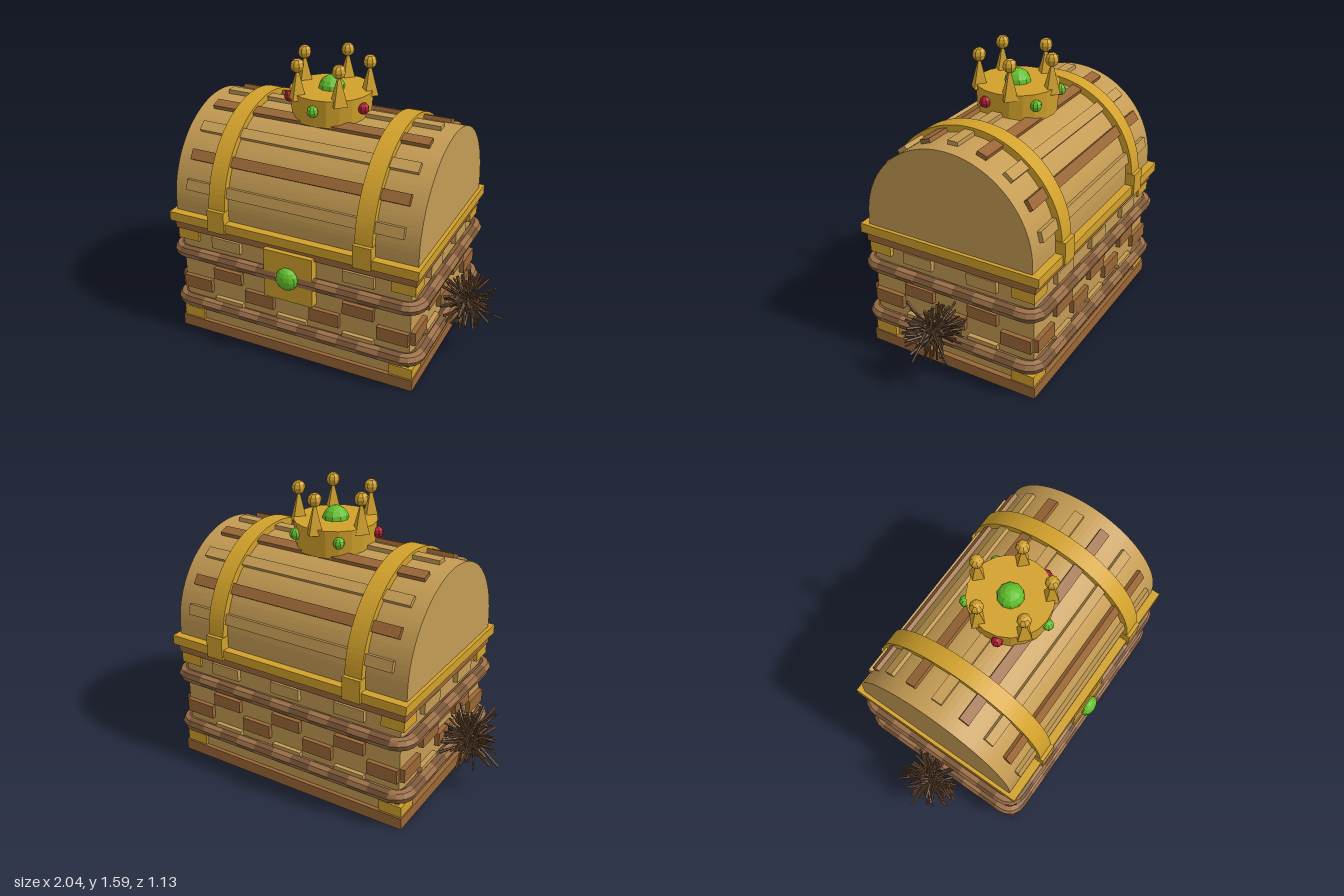
import * as THREE from 'three';

const mat = (name, color, extra = {}) => {
  const m = new THREE.MeshStandardMaterial({ color, flatShading: true, ...extra });
  m.name = name;
  return m;
};

export function createModel() {
  const tan = mat('light wood', 0xc49b53), brown = mat('brown wood', 0x9a6736);
  const gold = mat('gold', 0xd2a12b), green = mat('green gem', 0x62bf2c), red = mat('red gem', 0xac1a2c);
  const ropeLight = mat('light rope', 0x9c7048), ropeDark = mat('dark rope', 0x7c5737);
  const twig = mat('twig', 0x65462d);

  const root = new THREE.Group();
  root.name = 'treasureChest';
  const chest = new THREE.Group();
  chest.name = 'chest';
  chest.position.z = -0.017;
  root.add(chest);

  const add = (name, geo, m, x = 0, y = 0, z = 0, parent = chest) => {
    const mesh = new THREE.Mesh(geo, m);
    mesh.name = name;
    mesh.position.set(x, y, z);
    parent.add(mesh);
    return mesh;
  };
  // box given by width, depth, and its bottom and top heights
  const box = (name, m, w, d, y0, y1, x = 0, z = 0) =>
    add(name, new THREE.BoxGeometry(w, y1 - y0, d), m, x, (y0 + y1) / 2, z);

  // body, base and rims
  box('base', brown, 1.41, 1.01, 0, 0.066);
  box('body', tan, 1.35, 0.965, 0.066, 0.66);
  box('brownRim', brown, 1.41, 1.01, 0.64, 0.7);
  box('goldRim', gold, 1.445, 1.06, 0.692, 0.745);

  // gold corner caps
  for (const sx of [-1, 1]) for (const sz of [-1, 1])
    for (const [y0, y1] of [[0.062, 0.128], [0.575, 0.642]])
      box('cornerCap', gold, 0.13, 0.13, y0, y1, sx * 0.633, sz * 0.43);

  // staggered bricks on all four walls
  const rows = [
    { y: [0.565, 0.632], m: tan, xs: [-0.39, 0, 0.39], zs: [-0.193, 0.193] },
    { y: [0.368, 0.437], m: brown, xs: [-0.39, 0, 0.39], zs: [-0.193, 0.193] },
    { y: [0.27, 0.347], m: brown, xs: [-0.585, -0.195, 0.195, 0.585], zs: [-0.39, 0, 0.39] },
    { y: [0.178, 0.248], m: tan, xs: [-0.39, 0, 0.39], zs: [-0.193, 0.193] },
  ];
  for (const r of rows) for (const s of [-1, 1]) {
    for (const x of r.xs) box('brick', r.m, 0.175, 0.05, r.y[0], r.y[1], x, s * 0.482);
    for (const z of r.zs) box('sideBrick', r.m, 0.05, 0.175, r.y[0], r.y[1], s * 0.677, z);
  }

  // twisted ropes round the body, with alternating strands
  const ropePath = () => {
    const hx = 0.71, hz = 0.508, r = 0.07, s = new THREE.Shape();
    s.moveTo(-hx + r, -hz);
    s.lineTo(hx - r, -hz);
    s.absarc(hx - r, -hz + r, r, -Math.PI / 2, 0);
    s.lineTo(hx, hz - r);
    s.absarc(hx - r, hz - r, r, 0, Math.PI / 2);
    s.lineTo(-hx + r, hz);
    s.absarc(-hx + r, hz - r, r, Math.PI / 2, Math.PI);
    s.lineTo(-hx, -hz + r);
    s.absarc(-hx + r, -hz + r, r, Math.PI, Math.PI * 1.5);
    const path = new THREE.CurvePath();
    for (const c of s.curves) {
      const n = c.isLineCurve ? 1 : 4;
      for (let i = 0; i < n; i++) {
        const a = c.getPoint(i / n), b = c.getPoint((i + 1) / n);
        path.add(new THREE.LineCurve3(new THREE.Vector3(a.x, 0, a.y), new THREE.Vector3(b.x, 0, b.y)));
      }
    }
    return path;
  };
  const SEG = 160, RAD = 8;
  for (const y of [0.19, 0.504]) {
    const geo = new THREE.TubeGeometry(ropePath(), SEG, 0.037, RAD, true);
    for (let i = 0; i < SEG; i++) for (let j = 0; j < RAD; j++)
      geo.addGroup((i * RAD + j) * 6, 6, (Math.floor(i / 4) + Math.floor(j / 2)) % 2);
    add('rope', geo, [ropeLight, ropeDark], 0, y);
  }

  // lock plate and gem
  box('lockPlate', gold, 0.285, 0.06, 0.372, 0.66, 0, 0.502);
  const lockGem = add('lockGem', new THREE.SphereGeometry(0.064, 12, 8), green, 0, 0.515, 0.54);
  lockGem.scale.z = 0.65;

  // rounded lid
  const CY = 0.79;
  const extrudeX = (shape, w) => {
    const g = new THREE.ExtrudeGeometry(shape, { depth: w, bevelEnabled: false, curveSegments: 28 });
    return g.translate(0, 0, -w / 2).rotateY(Math.PI / 2);
  };
  const dome = new THREE.Shape();
  dome.moveTo(-0.485, -0.06);
  dome.lineTo(0.485, -0.06);
  dome.absarc(0, 0, 0.485, 0, Math.PI, false);
  add('lid', extrudeX(dome, 1.405), tan, 0, CY);

  // lid slats, every other one brown
  for (let k = -4; k <= 4; k++) {
    const a = THREE.MathUtils.degToRad(k * 19);
    const slat = add('lidSlat', new THREE.BoxGeometry(1.245, 0.04, 0.058), k % 2 ? brown : tan,
      0, CY + Math.cos(a) * 0.487, Math.sin(a) * 0.487);
    slat.rotation.x = a;
  }

  // gold straps over the lid, with feet on the rim
  for (const x of [-0.423, 0.423]) {
    const band = new THREE.Shape();
    band.absarc(0, 0, 0.522, 0, Math.PI, false);
    band.absarc(0, 0, 0.475, Math.PI, 0, true);
    add('strap', extrudeX(band, 0.097), gold, x, CY);
    for (const s of [-1, 1]) box('strapFoot', gold, 0.102, 0.055, 0.688, 0.815, x, s * 0.514);
  }

  // crown
  const crown = new THREE.Group();
  crown.name = 'crown';
  crown.position.y = 1.4;
  chest.add(crown);
  add('crownBand', new THREE.CylinderGeometry(0.222, 0.212, 0.15, 20), gold, 0, -0.075, 0, crown);
  add('crownTopGem', new THREE.SphereGeometry(0.072, 10, 8), green, 0, -0.005, 0, crown);
  for (let i = 0; i < 5; i++) {
    const a = Math.PI + i * Math.PI * 0.4, x = Math.sin(a), z = Math.cos(a);
    const spike = add('crownSpike', new THREE.ConeGeometry(0.052, 0.18, 4), gold, x * 0.2, 0.06, z * 0.2, crown);
    spike.rotation.y = 0;
    add('crownBall', new THREE.SphereGeometry(0.037, 8, 6), gold, x * 0.2, 0.15, z * 0.2, crown);
    const b = a + Math.PI * 0.2;
    add('crownGem', new THREE.SphereGeometry(0.031, 8, 6), i === 1 || i === 3 ? red : green,
      Math.sin(b) * 0.226, -0.06, Math.cos(b) * 0.226, crown);
  }

  // tangled twig bundles on both sides
  let seed = 7;
  const rnd = () => (seed = (seed * 16807) % 2147483647) / 2147483647;
  const up = new THREE.Vector3(0, 1, 0);
  for (const s of [-1, 1]) {
    const bundle = new THREE.Group();
    bundle.name = 'twigBundle';
    bundle.position.set(s * 0.825, 0.315, 0.015);
    chest.add(bundle);
    for (let i = 0; i < 80; i++) {
      const t = rnd() * 2 - 1, p = rnd() * Math.PI * 2, q = Math.sqrt(1 - t * t);
      const dir = new THREE.Vector3(q * Math.cos(p), t, q * Math.sin(p));
      const len = 0.18 + rnd() * 0.14;
      const stick = add('twig', new THREE.CylinderGeometry(0.005, 0.0085, len, 5), twig,
        (rnd() - 0.5) * 0.06, (rnd() - 0.5) * 0.06, (rnd() - 0.5) * 0.06, bundle);
      stick.position.addScaledVector(dir, (rnd() - 0.5) * 0.1);
      stick.quaternion.setFromUnitVectors(up, dir);
    }
  }
  return root;
}
